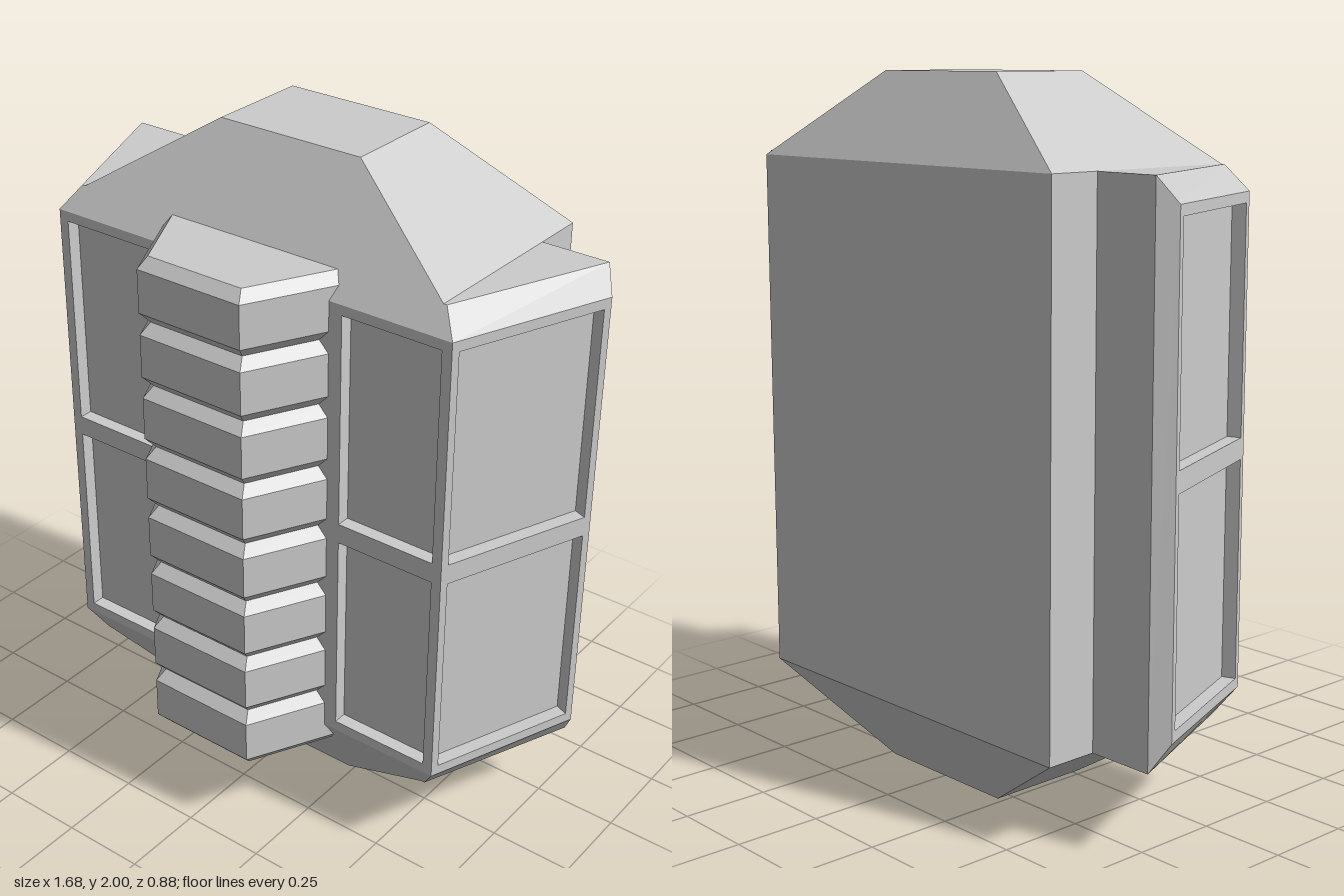
import * as THREE from 'three';

const material = new THREE.MeshStandardMaterial({ color: 0xcccccc, flatShading: true });

function addMesh(parent, name, geometry) {
  const mesh = new THREE.Mesh(geometry, material);
  mesh.name = name;
  parent.add(mesh);
  return mesh;
}

// Horizontal ring at height y: the +x half outline (front to back), then its mirror image.
function ring(y, half) {
  const right = half.map(([x, z]) => new THREE.Vector3(x, y, z));
  const left = half.map(([x, z]) => new THREE.Vector3(-x, y, z)).reverse();
  return [...right, ...left];
}

// Faceted solid through a stack of rings; skip(band, side) leaves a face open.
function loft(rings, skip = () => false) {
  const points = [];
  const n = rings[0].length;
  for (let r = 0; r < rings.length - 1; r++) {
    for (let i = 0; i < n; i++) {
      if (skip(r, i)) continue;
      const j = (i + 1) % n;
      const [a, b, c, d] = [rings[r][i], rings[r][j], rings[r + 1][j], rings[r + 1][i]];
      for (const tri of [[a, b, c], [a, c, d]]) {
        if (new THREE.Triangle(...tri).getArea() > 1e-7) points.push(...tri);
      }
    }
  }
  const bottom = rings[0], top = rings[rings.length - 1];
  for (let i = 1; i < n - 1; i++) {
    points.push(bottom[0], bottom[i + 1], bottom[i]);
    points.push(top[0], top[i], top[i + 1]);
  }
  const geometry = new THREE.BufferGeometry().setFromPoints(points);
  geometry.computeVertexNormals();
  return geometry;
}

// Open tray facing +z, seen from the inside.
function recessGeometry(width, height, depth) {
  const box = new THREE.BoxGeometry(width, height, depth);
  const index = Array.from(box.index.array);
  index.splice(24, 6); // drop the open side
  box.setIndex(index);
  box.scale(-1, 1, 1); // turn the walls inward
  const geometry = box.toNonIndexed();
  geometry.computeVertexNormals();
  return geometry;
}

const Y0 = 0.32, Y1 = 1.69;                     // straight part of the shell
const ROWS = [[0.35, 0.97], [1.03, 1.66]];      // panel heights
const DEPTH = 0.04;

// Flat wall with recessed panels; columns are [start, end] along the wall.
function panelWall(name, width, columns) {
  const wall = new THREE.Group();
  wall.name = name;
  const rect = (path, x0, x1, y0, y1) => {
    path.moveTo(x0, y0).lineTo(x1, y0).lineTo(x1, y1).lineTo(x0, y1).closePath();
    return path;
  };
  const shape = rect(new THREE.Shape(), -width / 2, width / 2, Y0, Y1);
  for (const [x0, x1] of columns) {
    for (const [y0, y1] of ROWS) {
      shape.holes.push(rect(new THREE.Path(), x0, x1, y0, y1));
      addMesh(wall, 'recessedPanel', recessGeometry(x1 - x0, y1 - y0, DEPTH))
        .position.set((x0 + x1) / 2, (y0 + y1) / 2, -DEPTH / 2);
    }
  }
  addMesh(wall, 'panelFrame', new THREE.ShapeGeometry(shape));
  return wall;
}

export function createModel() {
  const model = new THREE.Group();
  model.name = 'panelledCapsule';

  // Core block with tapered top and bottom
  const coreEnd = [[0.23, 0.02], [0.23, -0.29]];
  const coreWide = [[0.6, 0.175], [0.6, -0.44]];
  addMesh(model, 'core', loft([
    ring(0, coreEnd), ring(0.24, coreWide), ring(1.76, coreWide), ring(2, coreEnd),
  ]));

  // Flared shell with bevelled rims; front and side walls are left open for the panels
  const rim = [[0.61, 0.175], [0.8, -0.285], [0.8, -0.285]];
  const outer = [[0.66, 0.22], [0.84, -0.24], [0.8, -0.285]];
  addMesh(model, 'shell', loft(
    [ring(0.24, rim), ring(Y0, outer), ring(Y1, outer), ring(1.76, rim)],
    (band, side) => band === 1 && [0, 4, 5].includes(side),
  ));

  // Panelled walls
  const front = panelWall('frontWall', 1.32, [[-0.63, -0.325], [0.325, 0.63]]);
  front.position.z = 0.22;
  model.add(front);
  const sideWidth = Math.hypot(0.18, 0.46);
  const angle = Math.atan2(0.46, 0.18);
  for (const s of [1, -1]) {
    const edge = sideWidth / 2 - 0.022;
    const side = panelWall(s > 0 ? 'leftWall' : 'rightWall', sideWidth, [[-edge, edge]]);
    side.position.set(s * 0.75, 0, -0.01);
    side.rotation.y = s * angle;
    model.add(side);
  }

  // Ribbed spine: eight bevelled ribs
  const ribOuter = [[0.17, 0.44], [0.31, 0.17]];
  const ribInner = [[0.155, 0.412], [0.28, 0.17]];
  const pitch = 0.19, bevel = 0.032;
  const spine = [ring(0.24, ribInner)];
  for (let i = 0; i < 8; i++) {
    const y = 0.24 + i * pitch;
    spine.push(ring(y + bevel, ribOuter), ring(y + pitch - bevel, ribOuter), ring(y + pitch, ribInner));
  }
  addMesh(model, 'ribbedSpine', loft(spine));

  return model;
}
